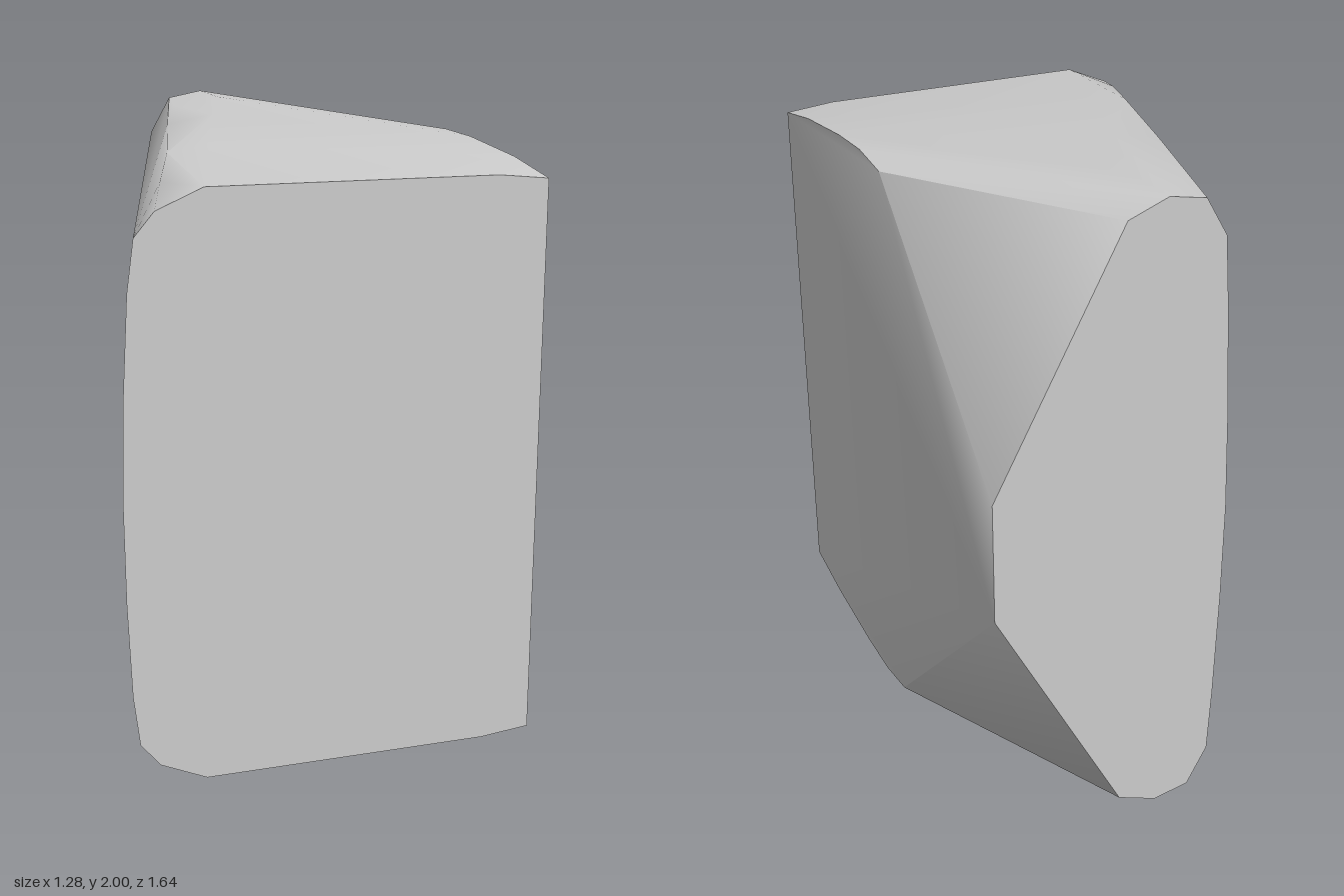
import * as THREE from 'three';
import { ConvexGeometry } from 'three/addons/geometries/ConvexGeometry.js';
import { toCreasedNormals } from 'three/addons/utils/BufferGeometryUtils.js';

const DEPTH = 0.82; // half the depth
const MID = 1;      // height of the mirror plane

// Upper half of each cross-section as [x, y], keyed by depth
const sections = [
  // flat front face
  { z: DEPTH, points: [[-0.64, 1], [-0.634, 1.3], [-0.62, 1.58], [-0.6, 1.73], [-0.54, 1.8], [-0.4, 1.86], [0.48, 1.86], [0.637, 1.845]] },
  // crowned top, rising toward the back
  { z: 0.6, points: [[-0.46, 1.85], [0.637, 1.886]] },
  { z: 0.3, points: [[-0.35, 1.9], [-0.22, 1.921], [0.637, 1.919]] },
  { z: 0.12, points: [[0.637, 1.927]] },
  { z: -0.04, points: [[0.637, 1.908]] },
  { z: -0.2, points: [[-0.2, 1.938], [-0.05, 1.966]] },
  { z: -0.6, points: [[-0.06, 1.968], [0.1, 1.993]] },
  // back face, with its right-hand corners cut away
  { z: -DEPTH, points: [[-0.11, 1], [-0.104, 1.3], [-0.09, 1.65], [-0.077, 1.86], [-0.01, 1.978], [0.105, 2], [0.23, 1.952], [0.637, 1.19]] },
];

export function createModel() {
  const group = new THREE.Group();
  group.name = 'wedgeStone';

  // Mirror every section below the middle and wrap a skin around them
  const corners = [];
  for (const { z, points } of sections) {
    for (const [x, y] of points) {
      corners.push(new THREE.Vector3(x, y, z));
      if (y > MID) corners.push(new THREE.Vector3(x, 2 * MID - y, z));
    }
  }

  // Soft crown and rounded shoulders, sharp cut faces
  const geometry = toCreasedNormals(new ConvexGeometry(corners), 0.8);
  const body = new THREE.Mesh(geometry, new THREE.MeshStandardMaterial({ color: 0xcccccc }));
  body.name = 'body';
  group.add(body);
  return group;
}
